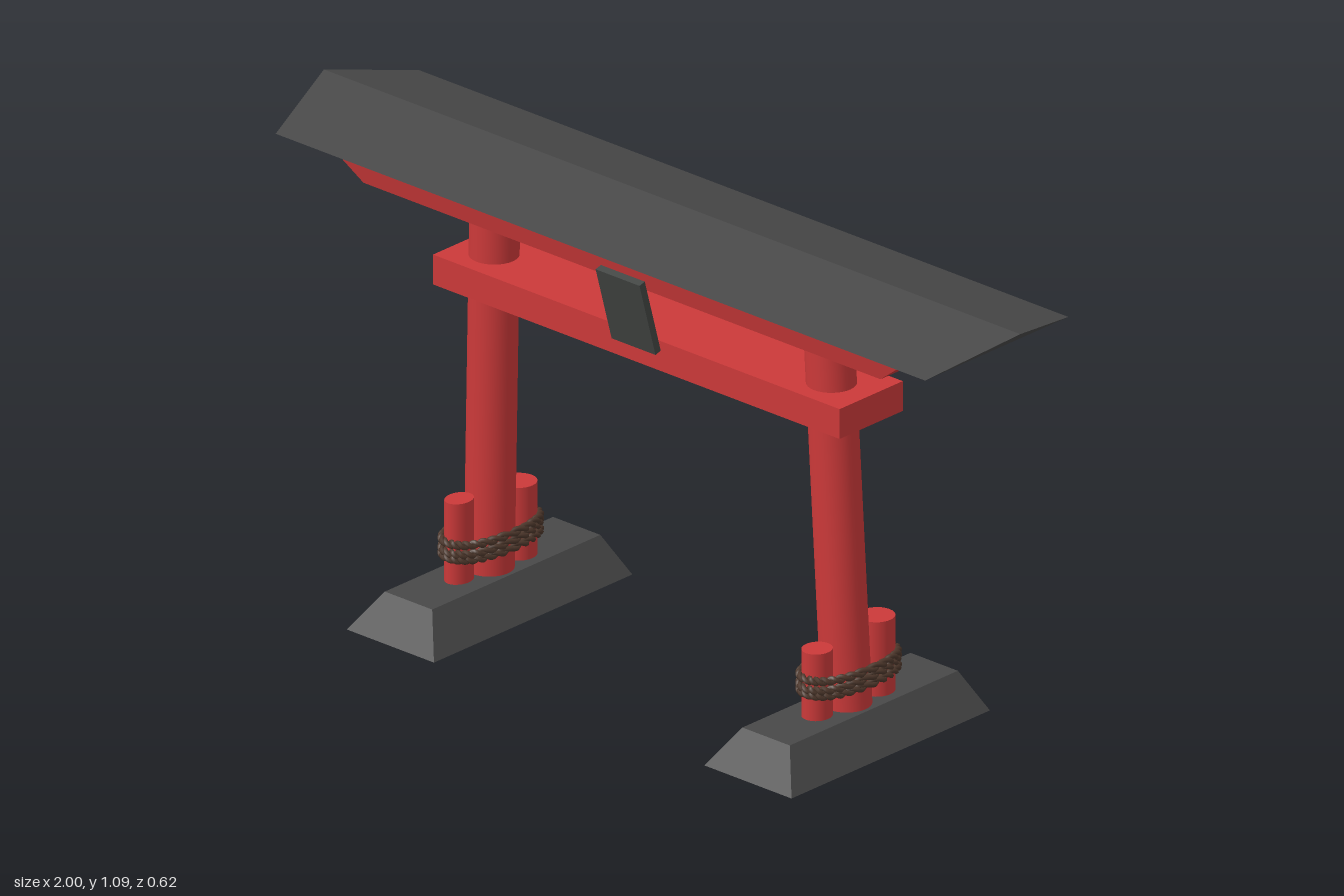
import * as THREE from 'three';

const mat = (name, color) => Object.assign(new THREE.MeshStandardMaterial({ color }), { name });

function add(parent, name, geometry, material) {
  const mesh = new THREE.Mesh(geometry, material);
  mesh.name = name;
  parent.add(mesh);
  return mesh;
}

// Box whose bottom and top rectangles differ: each is [x0, x1, y, z0, z1]
function taperedBox(bottom, top) {
  const geo = new THREE.BoxGeometry(1, 1, 1);
  const p = geo.attributes.position;
  for (let i = 0; i < p.count; i++) {
    const r = p.getY(i) > 0 ? top : bottom;
    p.setXYZ(i, p.getX(i) > 0 ? r[1] : r[0], r[2], p.getZ(i) > 0 ? r[4] : r[3]);
  }
  geo.computeVertexNormals();
  return geo;
}

// One strand of a twisted rope loop, wound round the middle line of the loop
class RopeStrand extends THREE.Curve {
  constructor(centre, rx, rz, tilt, phase) {
    super();
    Object.assign(this, { centre, rx, rz, tilt, phase });
  }
  getPoint(t, target = new THREE.Vector3()) {
    const a = t * Math.PI * 2;
    const w = a * 14 + this.phase;
    const c = Math.cos(a), s = Math.sin(a), e = 0.85;
    const out = 0.005 * Math.cos(w);
    return target.set(
      this.centre.x + Math.sign(c) * Math.abs(c) ** e * (this.rx + out),
      this.centre.y + 0.005 * Math.sin(w) + this.tilt * s,
      this.centre.z + Math.sign(s) * Math.abs(s) ** e * (this.rz + out));
  }
}

export function createModel() {
  const red = mat('red paint', 0xcb3939);
  const stone = mat('dark grey', 0x484848);
  const slate = mat('plaque grey', 0x434644);
  const brown = mat('rope brown', 0x4e382c);
  const model = new THREE.Group();
  model.name = 'gate';

  // Roof with a ridge longer than its eaves, and the flared beam below it
  add(model, 'roof', taperedBox([-0.935, 0.93, 1.03, -0.225, 0.22], [-1, 1, 1.086, 0, 0]), stone);
  add(model, 'upperBeam', taperedBox([-0.755, 0.73, 0.946, -0.143, 0.142], [-0.86, 0.84, 1.031, -0.162, 0.162]), red);

  // Lower tie beam
  add(model, 'lowerBeam', taperedBox([-0.596, 0.572, 0.745, -0.098, 0.098], [-0.596, 0.572, 0.814, -0.098, 0.098]), red);

  // Tilted plaques on front and back
  for (const [name, y, z, tilt] of [['frontPlaque', 0.879, 0.133, 0.275], ['backPlaque', 0.872, -0.131, -0.25]]) {
    const plaque = add(model, name, new THREE.BoxGeometry(0.126, 0.183, 0.017), slate);
    plaque.position.set(-0.003, y, z);
    plaque.rotation.x = tilt;
  }

  // Two legs, each with base, leaning pillar, support posts and rope
  const legs = [
    { name: 'rightLeg', base: -0.524, foot: -0.517, head: -0.5, frontTop: 0.274, backTop: 0.256, frontRx: 0.028 },
    { name: 'leftLeg', base: 0.503, foot: 0.511, head: 0.457, frontTop: 0.242, backTop: 0.26, frontRx: 0.032 },
  ];
  for (const leg of legs) {
    const group = new THREE.Group();
    group.name = leg.name;
    model.add(group);

    const b = leg.base;
    add(group, 'base', taperedBox([b - 0.125, b + 0.125, 0, -0.308, 0.308], [b - 0.066, b + 0.07, 0.088, -0.268, 0.254]), stone);

    const low = new THREE.Vector3(leg.foot, 0.075, 0.009);
    const high = new THREE.Vector3(leg.head, 0.96, 0.009);
    const axis = high.clone().sub(low);
    const pillar = add(group, 'pillar', new THREE.CylinderGeometry(0.054, 0.054, axis.length(), 32), red);
    pillar.position.copy(low).lerp(high, 0.5);
    pillar.quaternion.setFromUnitVectors(new THREE.Vector3(0, 1, 0), axis.normalize());

    // Short posts before and behind the pillar
    const posts = [
      ['frontPost', leg.foot - 0.003, 0.099, leg.frontRx, 0.035, leg.frontTop],
      ['backPost', leg.foot, -0.083, 0.039, 0.04, leg.backTop],
    ];
    for (const [name, x, z, rx, rz, top] of posts) {
      const post = add(group, name, new THREE.CylinderGeometry(1, 1, top - 0.08, 28), red);
      post.scale.set(rx, 1, rz);
      post.position.set(x, (top + 0.08) / 2, z);
    }

    // Three twisted rope loops
    [[0.146, 0.003], [0.163, -0.002], [0.18, 0.003]].forEach(([y, tilt]) => {
      const centre = new THREE.Vector3(leg.foot, y, 0.004);
      for (const phase of [0, Math.PI]) {
        const strand = new RopeStrand(centre, 0.059, 0.131, tilt, phase);
        add(group, 'ropeStrand', new THREE.TubeGeometry(strand, 220, 0.0055, 6, true), brown);
      }
    });
  }
  return model;
}
